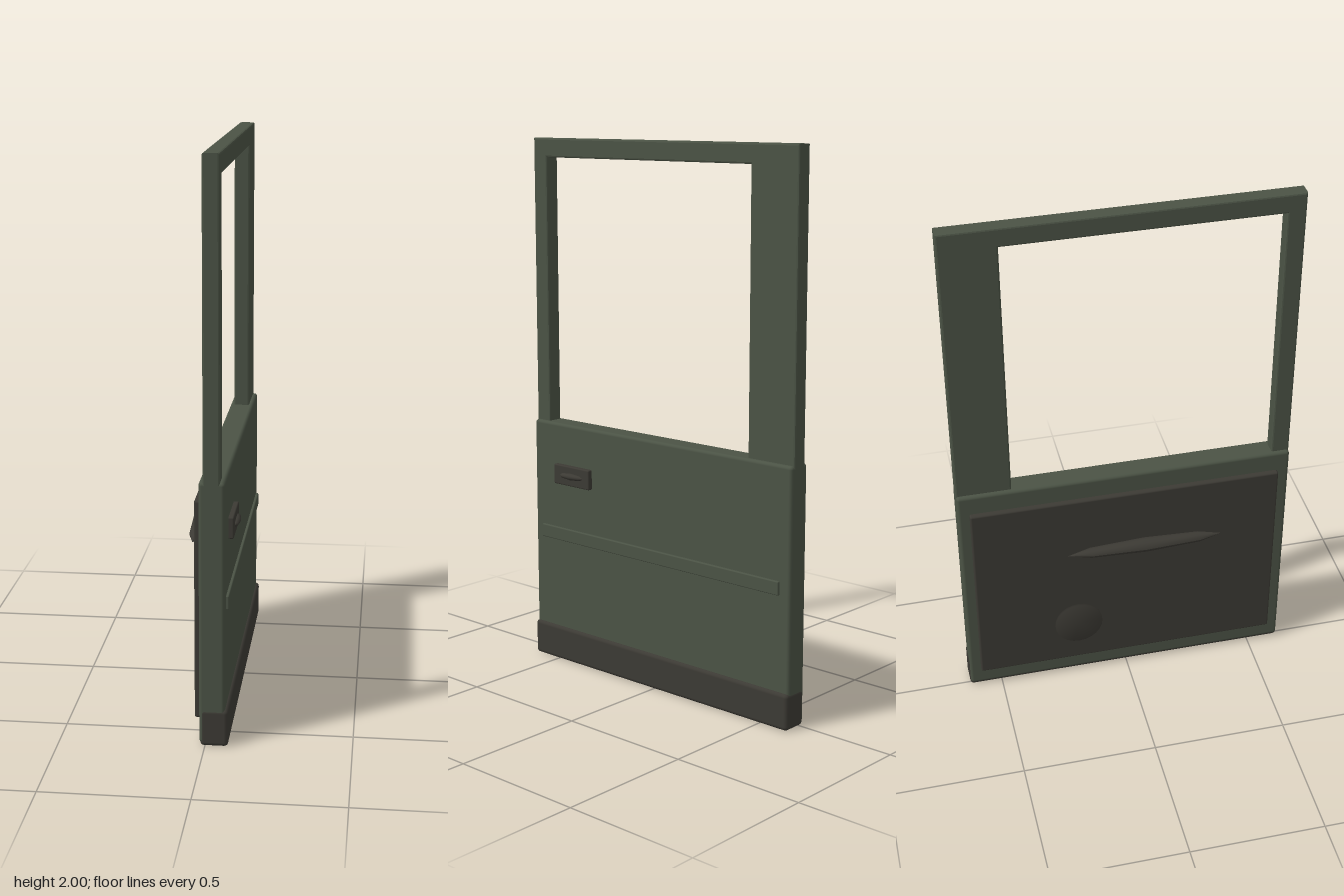
import * as THREE from 'three';
import { RoundedBoxGeometry } from 'three/addons/geometries/RoundedBoxGeometry.js';
import { mergeVertices } from 'three/addons/utils/BufferGeometryUtils.js';

export function createModel() {
  const door = new THREE.Group();
  door.name = 'door';
  const green = new THREE.MeshStandardMaterial({ color: 0x4b5345 });
  green.name = 'olive green paint';
  const dark = new THREE.MeshStandardMaterial({ color: 0x3c3a34 });
  dark.name = 'dark trim';

  const add = (name, geometry, material, x = 0, y = 0, z = 0) => {
    const mesh = new THREE.Mesh(geometry, material);
    mesh.name = name;
    mesh.position.set(x, y, z);
    door.add(mesh);
    return mesh;
  };

  // Rounded box given by its extents along each axis
  const block = (name, material, [x0, x1], [y0, y1], [z0, z1], radius) =>
    add(name, new RoundedBoxGeometry(x1 - x0, y1 - y0, z1 - z0, 2, radius), material,
      (x0 + x1) / 2, (y0 + y1) / 2, (z0 + z1) / 2);

  // Pointed spindle lying along z
  const spindle = (name, x, y, z, rx, ry, rz) => {
    const geometry = new THREE.SphereGeometry(1, 12, 4);
    geometry.rotateX(Math.PI / 2).scale(rx, ry, rz);
    geometry.computeVertexNormals();
    add(name, geometry, dark, x, y, z);
  };

  // Lower door body and sill
  block('lowerBody', green, [-0.02, 0.068], [0.01, 0.935], [-0.622, 0.622], 0.012);
  block('sill', dark, [-0.017, 0.079], [0, 0.133], [-0.6235, 0.6235], 0.014);

  // Window frame: one bevelled outline with an opening
  const bevel = 0.006;
  const rect = (target, z0, z1, y0, y1) => {
    target.moveTo(z0, y0);
    target.lineTo(z1, y0);
    target.lineTo(z1, y1);
    target.lineTo(z0, y1);
    target.closePath();
    return target;
  };
  // Shape x runs along -z once the extrusion is turned to face +x
  const outline = rect(new THREE.Shape(), -0.622 + bevel, 0.622 - bevel, 0.9, 2 - bevel);
  outline.holes.push(rect(new THREE.Path(), -0.555 - bevel, 0.42 + bevel, 0.925, 1.93 + bevel));
  const frame = new THREE.ExtrudeGeometry(outline, {
    depth: 0.057 - 2 * bevel, bevelThickness: bevel, bevelSize: bevel, bevelSegments: 2,
  });
  frame.rotateY(Math.PI / 2);
  add('windowFrame', frame, green, -0.005 + bevel);

  // Outer side: trim strip and recessed handle
  block('trimStrip', green, [0.06, 0.078], [0.48, 0.53], [-0.578, 0.58], 0.004);
  block('handlePlate', dark, [0.06, 0.086], [0.704, 0.78], [0.318, 0.502], 0.005);
  spindle('handle', 0.084, 0.742, 0.41, 0.018, 0.013, 0.063);

  // Inner side: lining, armrest and round speaker
  block('innerPanel', dark, [-0.04, -0.01], [0.083, 0.858], [-0.58, 0.577], 0.007);
  spindle('armrest', -0.073, 0.636, 0.06, 0.031, 0.025, 0.293);

  let disc = new THREE.CylinderGeometry(0.092, 0.092, 0.018, 24);
  disc.rotateZ(Math.PI / 2);
  disc.deleteAttribute('normal');
  disc.deleteAttribute('uv');
  disc = mergeVertices(disc);
  disc.computeVertexNormals();
  add('speaker', disc, dark, -0.04, 0.266, -0.193);

  return door;
}
